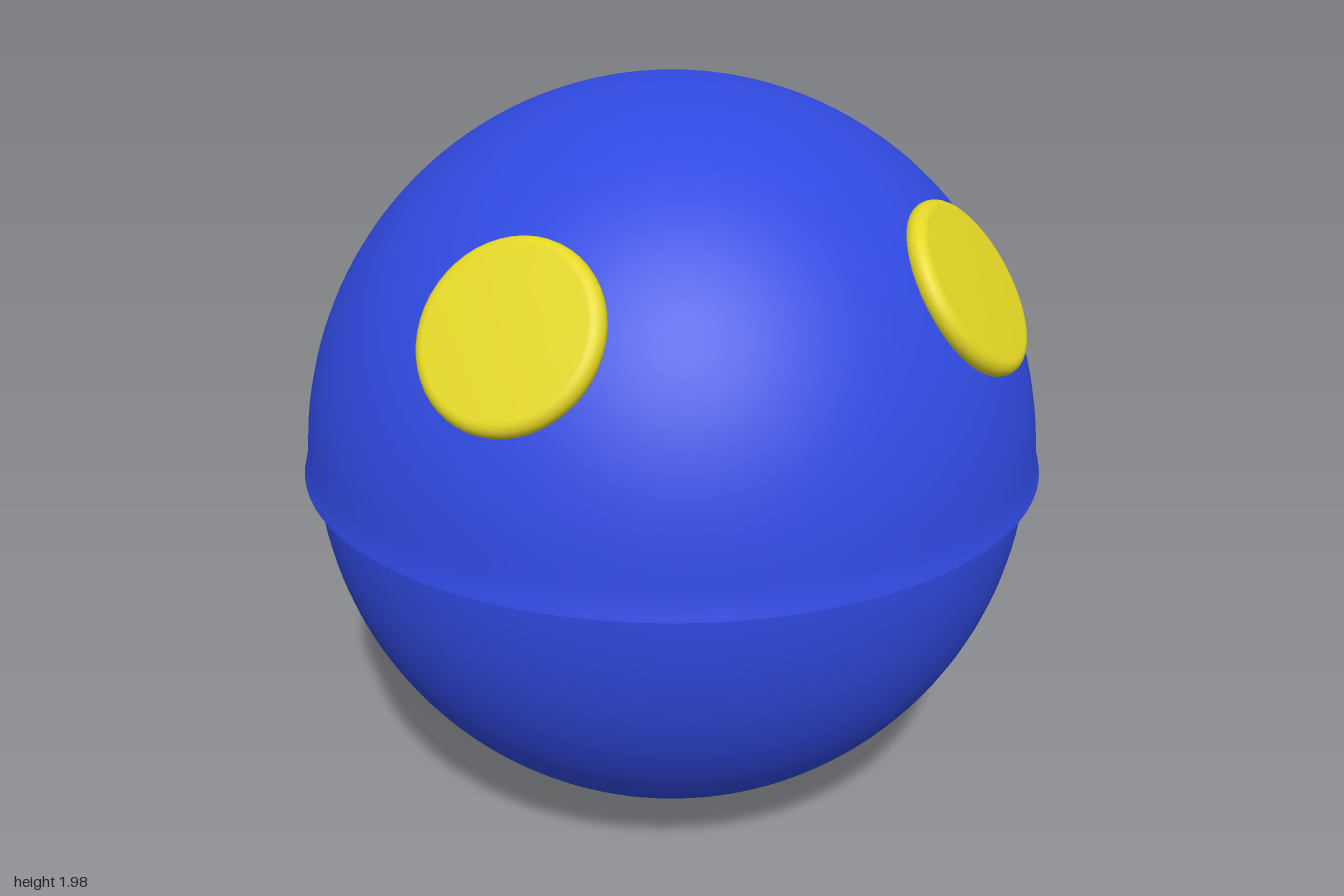
import * as THREE from 'three';

const BLUE = new THREE.MeshStandardMaterial({ color: 0x3049e0 });
const YELLOW = new THREE.MeshStandardMaterial({ color: 0xe3d624 });
const SEAM = 0.98;

function add(parent, name, geometry, material) {
  const mesh = new THREE.Mesh(geometry, material);
  mesh.name = name;
  parent.add(mesh);
  return mesh;
}

// Quarter-ellipse lathe profile between two angles (radians above the equator)
function arc(rx, ry, from, to, steps = 40) {
  return Array.from({ length: steps + 1 }, (_, i) => {
    const a = from + (to - from) * i / steps;
    return new THREE.Vector2(Math.max(0, rx * Math.cos(a)), ry * Math.sin(a));
  });
}

export function createModel() {
  const model = new THREE.Group();
  const quarter = Math.PI / 2;

  // Upper dome, flaring out to a thin lip at the seam
  const upper = new THREE.Group();
  upper.name = 'upperHalf';
  upper.position.y = SEAM;
  const lip = [[1.0, 0], [0.997, 0.012], [0.99, 0.035], [0.986, 0.065]].map(p => new THREE.Vector2(...p));
  add(upper, 'dome', new THREE.LatheGeometry([...lip, ...arc(0.987, 1.005, 0.11, quarter)], 96), BLUE);
  add(upper, 'domeUnderside', new THREE.CircleGeometry(1.0, 96).rotateX(quarter), BLUE);

  // Lower bowl, tipped slightly so a narrow gap opens on one side
  const lower = new THREE.Group();
  lower.name = 'lowerHalf';
  lower.position.y = SEAM;
  lower.rotation.z = 0.022;
  add(lower, 'bowl', new THREE.LatheGeometry(arc(0.968, 0.977, -quarter, 0), 96), BLUE);
  add(lower, 'bowlTop', new THREE.CircleGeometry(0.968, 96).rotateX(-quarter), BLUE);
  model.add(upper, lower);

  // Round eyes: discs with a rounded edge, laid on the dome
  const edge = arc(0.03, 0.03, -quarter, quarter, 10).map(p => p.add(new THREE.Vector2(0.203, 0)));
  const eyeGeometry = new THREE.LatheGeometry(
    [new THREE.Vector2(0, -0.03), ...edge, new THREE.Vector2(0.1, 0.032), new THREE.Vector2(0, 0.033)], 48);
  for (const [name, side] of [['leftEye', 1], ['rightEye', -1]]) {
    const direction = new THREE.Vector3(side, 1, 1.02).normalize();
    const eye = add(model, name, eyeGeometry, YELLOW);
    eye.quaternion.setFromUnitVectors(new THREE.Vector3(0, 1, 0), direction);
    eye.position.copy(direction).multiplyScalar(0.982);
    eye.position.y += SEAM;
  }
  return model;
}
